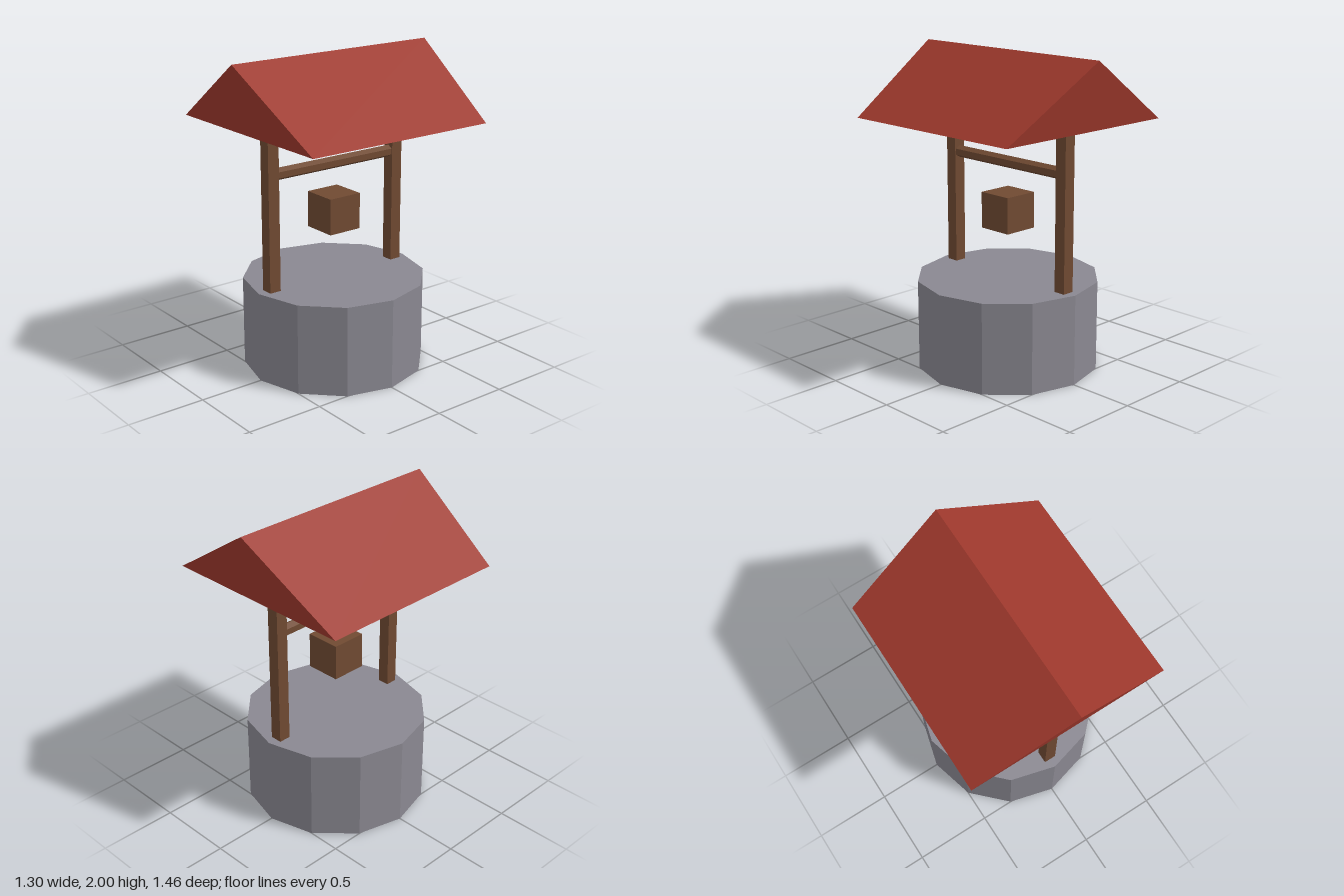
import * as THREE from 'three';

const material = (name, color, extra = {}) =>
  Object.assign(new THREE.MeshStandardMaterial({ color, flatShading: true, ...extra }), { name });

export function createModel() {
  const well = new THREE.Group();
  well.name = 'well';
  const stone = material('stone grey', 0x8a8891);
  const wood = material('wood brown', 0x704a32);
  const tile = material('roof red', 0x9e382c, { side: THREE.DoubleSide });

  const add = (name, geometry, mat, x = 0, y = 0, z = 0) => {
    const mesh = new THREE.Mesh(geometry, mat);
    mesh.name = name;
    mesh.position.set(x, y, z);
    well.add(mesh);
    return mesh;
  };

  // Twelve-sided stone base
  add('stoneBase', new THREE.CylinderGeometry(0.577, 0.577, 0.577, 12), stone, 0, 0.2885, 0);

  // Posts, reaching up inside the hollow roof
  const postBottom = 0.56, postTop = 1.71;
  for (const [name, side] of [['frontPost', 1], ['backPost', -1]]) {
    add(name, new THREE.BoxGeometry(0.077, postTop - postBottom, 0.077), wood,
      0, (postTop + postBottom) / 2, side * 0.48);
  }

  // Six-sided axle between the posts
  const axle = new THREE.CylinderGeometry(0.0385, 0.0385, 0.96, 6).rotateX(Math.PI / 2);
  add('axle', axle, wood, 0, 1.308, 0);

  // Hanging bucket
  add('bucket', new THREE.BoxGeometry(0.23, 0.23, 0.23), wood, 0, 1.0, 0);

  // Roof: two slopes and two overhanging gables, open underneath
  const eaveX = 0.65, eaveY = 1.58, eaveZ = 0.65, ridgeY = 2, ridgeZ = 0.73;
  const corners = [
    -eaveX, eaveY, eaveZ, eaveX, eaveY, eaveZ, 0, ridgeY, ridgeZ,
    -eaveX, eaveY, -eaveZ, eaveX, eaveY, -eaveZ, 0, ridgeY, -ridgeZ,
  ];
  const shell = new THREE.BufferGeometry();
  shell.setAttribute('position', new THREE.Float32BufferAttribute(corners, 3));
  shell.setIndex([
    0, 1, 2, 4, 3, 5, // gables
    1, 4, 5, 1, 5, 2, // left slope
    3, 0, 2, 3, 2, 5, // right slope
  ]);
  const roof = shell.toNonIndexed();
  roof.computeVertexNormals();
  add('roof', roof, tile);

  return well;
}
